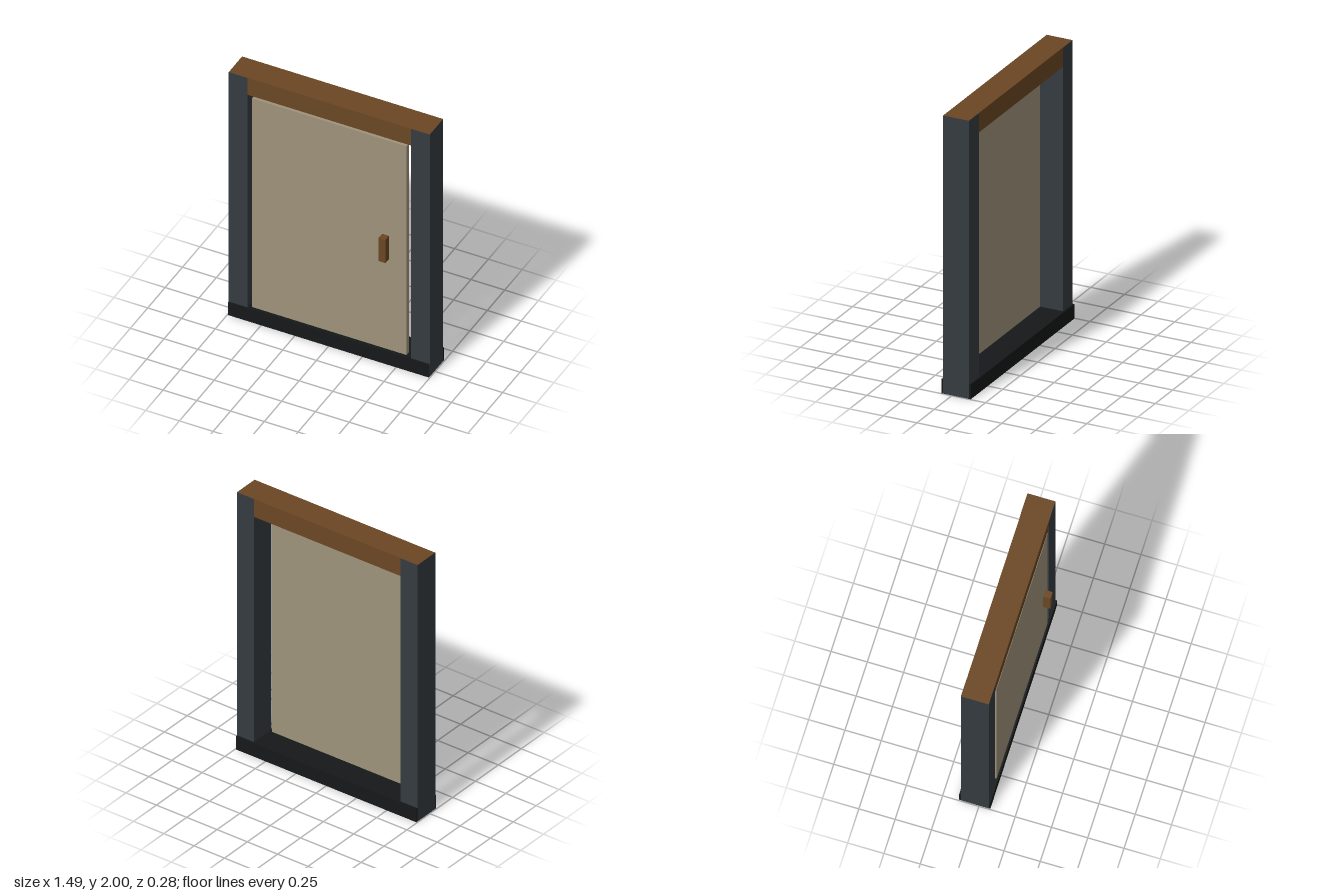
import * as THREE from 'three';

const material = (color) => new THREE.MeshStandardMaterial({ color });

// Box given by its lowest and highest corners
function block(name, mat, [x0, y0, z0], [x1, y1, z1]) {
  const mesh = new THREE.Mesh(new THREE.BoxGeometry(x1 - x0, y1 - y0, z1 - z0), mat);
  mesh.position.set((x0 + x1) / 2, (y0 + y1) / 2, (z0 + z1) / 2);
  mesh.name = name;
  return mesh;
}

export function createModel() {
  const model = new THREE.Group();
  model.name = 'framedDoor';

  const wood = material(0x6b4723);
  const slate = material(0x343b40);
  const black = material(0x151819);
  const tan = material(0x9e937b);

  const half = 0.745, inner = 0.605; // outer and inner edges of the posts
  const back = -0.126, front = 0.067; // frame depth
  const e = 0.001; // tiny inset so that overlapping faces do not coincide

  // Side posts, full height, passing through the sill
  for (const side of [-1, 1]) {
    const x = [side * inner, side * half].sort((a, b) => a - b);
    model.add(block(side > 0 ? 'leftPost' : 'rightPost', slate,
      [x[0], e, back], [x[1], 2 - e, front]));
  }

  // Top beam and the slightly deeper sill
  model.add(block('topBeam', wood, [-half + e, 1.86, back + e], [half - e, 2, front - e]));
  model.add(block('sill', black, [-half + e, 0, -0.138], [half - e, 0.105, 0.077]));

  // Door leaf, near the front of the frame with a gap all round
  model.add(block('doorPanel', tan, [-0.572, 0.12, 0.027], [0.572, 1.843, front]));

  // Handle, standing off the leaf
  model.add(block('handle', wood, [0.403, 0.885, 0.088], [0.453, 1.077, 0.138]));

  return model;
}
